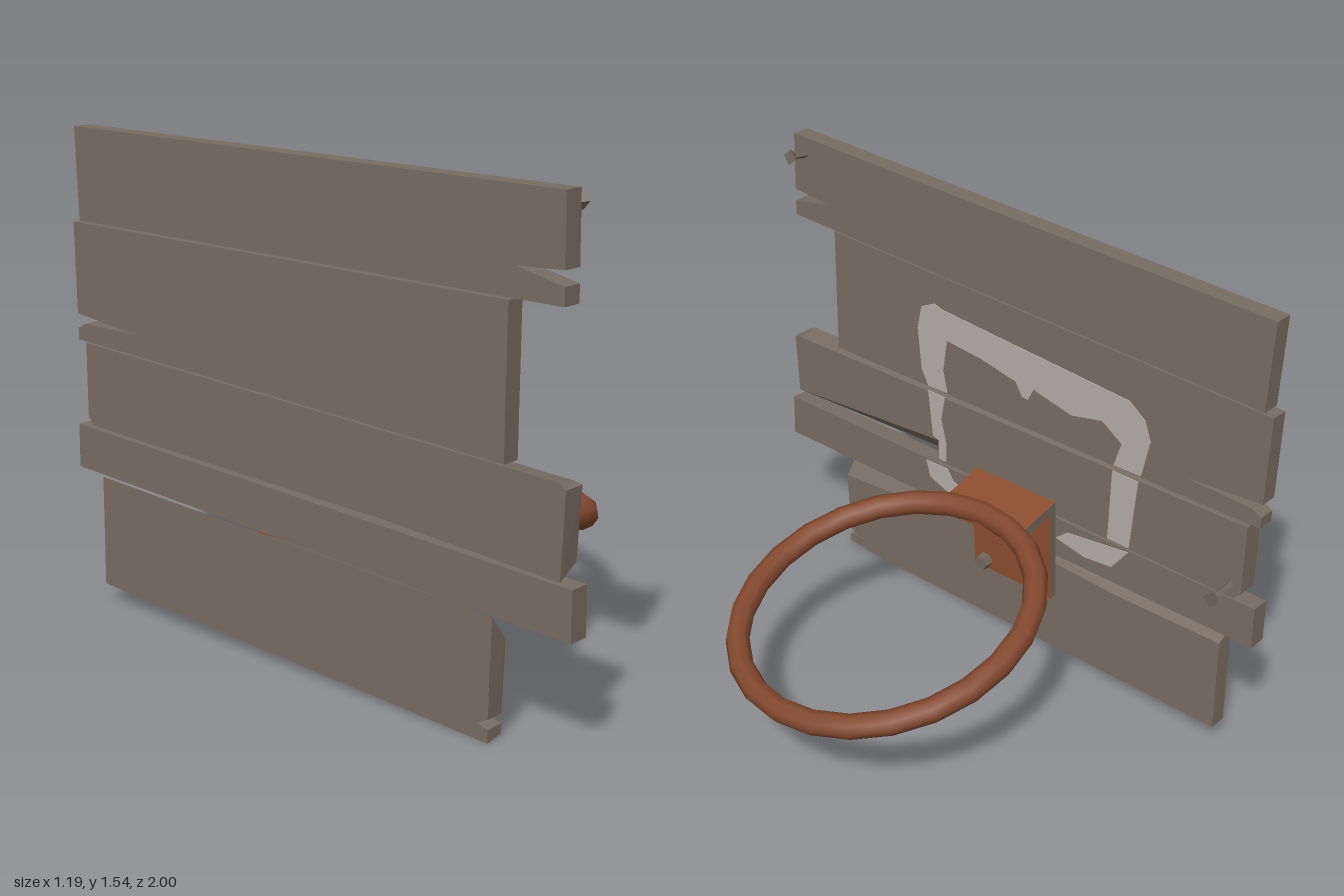
import * as THREE from 'three';

const mat = (name, color, extra = {}) => {
  const m = new THREE.MeshStandardMaterial({ color, ...extra });
  m.name = name;
  return m;
};

// Slab in the z-y plane, extruded from x0 to x1.
// Points are [z, y] or [z, y, dz, dy]; the offset shifts only the front corner, to chip the edge.
function slab(points, x0, x1) {
  const shape = new THREE.Shape(points.map(([z, y]) => new THREE.Vector2(-z, y)));
  const geo = new THREE.ExtrudeGeometry(shape, { depth: x1 - x0, bevelEnabled: false });
  const pos = geo.attributes.position;
  for (let i = 0; i < pos.count; i++) {
    if (pos.getZ(i) < (x1 - x0) / 2) continue;
    const p = points.find(([z, y]) => Math.abs(pos.getX(i) + z) < 1e-5 && Math.abs(pos.getY(i) - y) < 1e-5);
    if (p && p.length > 2) pos.setXY(i, -p[0] - p[2], p[1] + p[3]);
  }
  geo.rotateY(Math.PI / 2).translate(x0, 0, 0);
  geo.computeVertexNormals();
  return geo;
}

export function createModel() {
  const model = new THREE.Group();
  const wood = mat('weathered wood', 0x786c62);
  const paint = mat('faded paint', 0xb3aca5);
  const rust = mat('rusty metal', 0x8c4d2f);
  const ringRust = mat('ring rust', 0x84492f);
  const worn = mat('worn metal', 0x73665c);

  const add = (name, geo, material, parent = model) => {
    const mesh = new THREE.Mesh(geo, material);
    mesh.name = name;
    parent.add(mesh);
    return mesh;
  };

  // Planks from top to bottom, with splits and chipped edges
  const back = -0.595;
  const planks = [
    { front: -0.535, pts: [[0.96, 1.54], [0.96, 1.34], [0.8, 1.332], [0.96, 1.298], [0.96, 1.247], [-0.945, 1.247], [-0.95, 1.54]] },
    { front: -0.538, pts: [[0.78, 1.24], [0.77, 0.802], [-0.975, 0.863], [-0.975, 0.9], [-0.94, 0.918], [-0.69, 0.92], [-0.975, 0.947], [-0.975, 1.24]] },
    { front: -0.527, pts: [[0.975, 0.775], [0.96, 0.523, 0, 0.04], [0.29, 0.558, 0, 0.075], [0.284, 0.556], [-0.92, 0.588], [-0.945, 0.615],
      [-0.94, 0.856], [0.95, 0.792, 0, -0.012]] },
    { front: -0.533, pts: [[1, 0.513], [1, 0.365], [-1, 0.437], [-0.995, 0.581]] },
    { front: -0.537, pts: [[0.735, 0.37, 0, -0.08], [0.722, 0.07], [0.685, 0.05], [0.722, 0.04], [0.722, 0, 0, 0.012], [0.56, 0.006], [-0.895, 0.06],
      [-0.885, 0.425, 0, -0.035], [-0.47, 0.41, 0, -0.04], [0, 0.395, 0, -0.02]] },
  ];
  planks.forEach((p, i) => add(`plank${i + 1}`, slab(p.pts, back, p.front), wood));

  // Worn painted target square, one thin plate per plank
  const marks = [
    ['paintTop', 1, [[0.345, 0.82], [0.375, 0.875], [0.395, 1.02], [0.38, 1.105], [0.325, 1.135], [0.29, 1.125], [-0.475, 1.095],
      [-0.54, 1.05], [-0.565, 0.985], [-0.545, 0.875], [-0.54, 0.853], [-0.435, 0.848], [-0.46, 0.935], [-0.38, 0.985], [-0.26, 0.955],
      [-0.105, 0.985], [-0.085, 0.94], [-0.06, 0.94], [-0.03, 0.985], [0.115, 1.01], [0.265, 1.02], [0.28, 0.9], [0.26, 0.825]]],
    ['paintLeftLeg', 2, [[0.335, 0.81], [0.26, 0.812], [0.275, 0.72], [0.25, 0.63], [0.25, 0.565], [0.282, 0.563], [0.283, 0.637], [0.31, 0.645]]],
    ['paintRightLeg', 2, [[-0.44, 0.835], [-0.54, 0.838], [-0.525, 0.582], [-0.44, 0.58]]],
    ['paintLeftFoot', 3, [[0.345, 0.53], [0.25, 0.535], [0.22, 0.495], [0.14, 0.48], [0.135, 0.445], [0.25, 0.445], [0.325, 0.47]]],
    ['paintRightFoot', 3, [[-0.275, 0.52], [-0.52, 0.56], [-0.46, 0.475], [-0.35, 0.46], [-0.23, 0.48]]],
  ];
  for (const [name, i, pts] of marks) {
    const x = planks[i].front;
    add(name, slab(pts, x - 0.001, x + 0.003), paint);
  }

  // Bent bracket: upright plate and sloping shelf, slightly crooked
  const bracket = new THREE.Group();
  bracket.name = 'bracket';
  bracket.position.set(0, 0.42, -0.065);
  bracket.rotation.x = 0.045;
  model.add(bracket);
  const profile = [[-0.527, 0.19], [-0.34, 0.148], [-0.34, 0.115], [-0.5, 0.152], [-0.51, -0.178], [-0.535, -0.178]];
  const bend = new THREE.Shape(profile.map(([x, y]) => new THREE.Vector2(x, y)));
  add('bracketPlate', new THREE.ExtrudeGeometry(bend, { depth: 0.335, bevelEnabled: false }).translate(0, 0, -0.1675), [worn, rust], bracket);

  // Hexagonal bolts
  for (const z of [0.115, -0.12]) {
    const bolt = new THREE.CylinderGeometry(0.026, 0.028, 0.035, 6).toNonIndexed();
    bolt.rotateZ(-Math.PI / 2).computeVertexNormals();
    add('bolt', bolt, worn, bracket).position.set(-0.495, -0.145, z);
  }

  // Tilted hoop
  const hoop = add('hoop', new THREE.TorusGeometry(0.482, 0.039, 8, 24), ringRust);
  hoop.position.set(0.095, 0.443, -0.058);
  hoop.quaternion.setFromUnitVectors(new THREE.Vector3(0, 0, 1), new THREE.Vector3(0.28, 1, 0.09).normalize());

  // Loose nails: thin shaft with a flared square head
  for (const [x, y, z, length, tilt] of [[-0.54, 1.48, 0.905, 0.08, 0.17], [-0.53, 0.635, -0.905, 0.105, -0.06]]) {
    const nail = new THREE.Group();
    nail.name = 'nail';
    nail.position.set(x, y, z);
    nail.rotation.z = tilt - Math.PI / 2;
    model.add(nail);
    for (const [name, top, bottom, h, at] of [['nailShaft', 0.011, 0.011, length, length / 2], ['nailHead', 0.028, 0.011, 0.022, length - 0.011]]) {
      const geo = new THREE.CylinderGeometry(top, bottom, h, 4).translate(0, at, 0).toNonIndexed();
      geo.computeVertexNormals();
      add(name, geo, worn, nail);
    }
  }
  return model;
}
